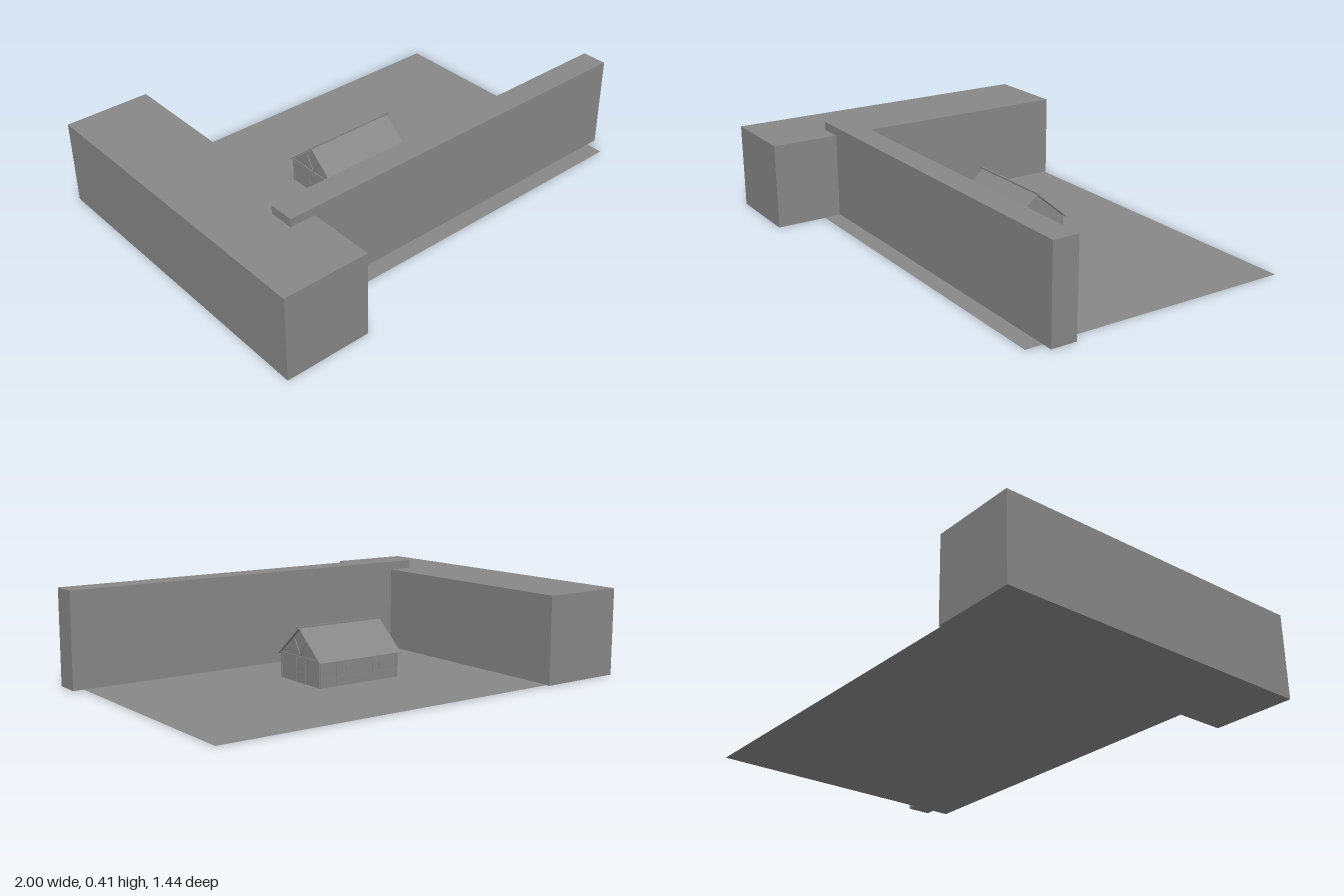
import * as THREE from 'three';

export function createModel() {
  const model = new THREE.Group();
  const grey = new THREE.MeshStandardMaterial({ color: 0x878787, flatShading: true, side: THREE.DoubleSide });

  function add(name, geometry, parent = model) {
    const mesh = new THREE.Mesh(geometry, grey);
    mesh.name = name;
    parent.add(mesh);
    return mesh;
  }

  // box given by its extents on each axis
  function box(name, [x0, x1], [y0, y1], [z0, z1], parent) {
    const mesh = add(name, new THREE.BoxGeometry(x1 - x0, y1 - y0, z1 - z0), parent);
    mesh.position.set((x0 + x1) / 2, (y0 + y1) / 2, (z0 + z1) / 2);
    return mesh;
  }

  // profile of [z, y] points extruded along x
  function prism(name, points, x0, x1, parent) {
    const shape = new THREE.Shape(points.map(([z, y]) => new THREE.Vector2(-z, y)));
    const geometry = new THREE.ExtrudeGeometry(shape, { depth: x1 - x0, bevelEnabled: false });
    geometry.rotateY(Math.PI / 2);
    geometry.translate(x0, 0, 0);
    return add(name, geometry, parent);
  }

  // ground sheet, reaching under the side block
  const ground = add('ground', new THREE.PlaneGeometry(1.6, 1.21));
  ground.rotation.x = -Math.PI / 2;
  ground.position.set(0.15, 0.002, -0.105);

  // large surrounding blocks
  box('sideBlock', [-1, -0.628], [0, 0.373], [-0.72, 0.72]);
  box('frontWall', [-0.74, 1], [0.004, 0.41], [0.313, 0.425]);

  // small house, standing just above the ground sheet
  const house = new THREE.Group();
  house.name = 'house';
  model.add(house);
  const base = 0.004, mid = -0.094, xEnds = [-0.225, 0.175];
  const front = 0.046, back = -0.23;
  prism('houseBody', [[front, base], [front, 0.113], [mid, 0.228], [back, 0.113], [back, base]], ...xEnds, house);

  // thin pitched roof with overhang
  prism('roof', [[0.055, 0.11], [mid, 0.236], [-0.243, 0.11], [-0.243, 0.106], [mid, 0.231], [0.055, 0.106]],
    -0.235, 0.185, house);
  box('ridgeCap', [-0.245, 0.195], [0.231, 0.24], [mid - 0.004, mid + 0.004], house);

  // gable ends: corner posts, tie beam, V struts, framed door
  for (const [i, x] of xEnds.entries()) {
    const out = i ? 1 : -1;
    const span = [Math.min(x, x + out * 0.004), Math.max(x, x + out * 0.004)];
    box('tieBeam', span, [0.11, 0.116], [back, front], house);
    for (const s of [-1, 1]) {
      const edge = s > 0 ? front : back;
      box('cornerPost', span, [base, 0.113], [Math.min(edge, edge - s * 0.008), Math.max(edge, edge - s * 0.008)], house);
      const strut = add('gableStrut', new THREE.BoxGeometry(0.004, 0.075, 0.007), house);
      strut.position.set((span[0] + span[1]) / 2, 0.151, mid + s * 0.021);
      strut.rotation.x = s * 0.55;
      box('doorJamb', span, [base, 0.11], [mid + s * 0.032 - 0.004, mid + s * 0.032 + 0.004], house);
    }
    box('door', [x - 0.002, x + 0.002], [base, 0.104], [mid - 0.028, mid + 0.028], house);
    box('doorRail', span, [0.044, 0.05], [mid - 0.028, mid + 0.028], house);
  }

  // long sides: sill rail, posts and framed windows
  for (const [z, out] of [[front, 1], [back, -1]]) {
    const depth = d => [Math.min(z, z + out * d), Math.max(z, z + out * d)];
    box('sillRail', xEnds, [0.036, 0.041], depth(0.002), house);
    for (const x of [-0.221, 0.09, 0.171]) box('wallPost', [x - 0.004, x + 0.004], [base, 0.108], depth(0.003), house);
    for (const x of [0.055, -0.11]) {
      const shape = new THREE.Shape().moveTo(-0.018, -0.021).lineTo(0.018, -0.021).lineTo(0.018, 0.021).lineTo(-0.018, 0.021);
      const hole = new THREE.Path().moveTo(-0.013, -0.016).lineTo(-0.013, 0.016).lineTo(0.013, 0.016).lineTo(0.013, -0.016);
      shape.holes.push(hole);
      const frame = add('windowFrame', new THREE.ExtrudeGeometry(shape, { depth: 0.003, bevelEnabled: false }), house);
      frame.position.set(x, 0.064, depth(0.003)[0]);
    }
  }
  return model;
}
